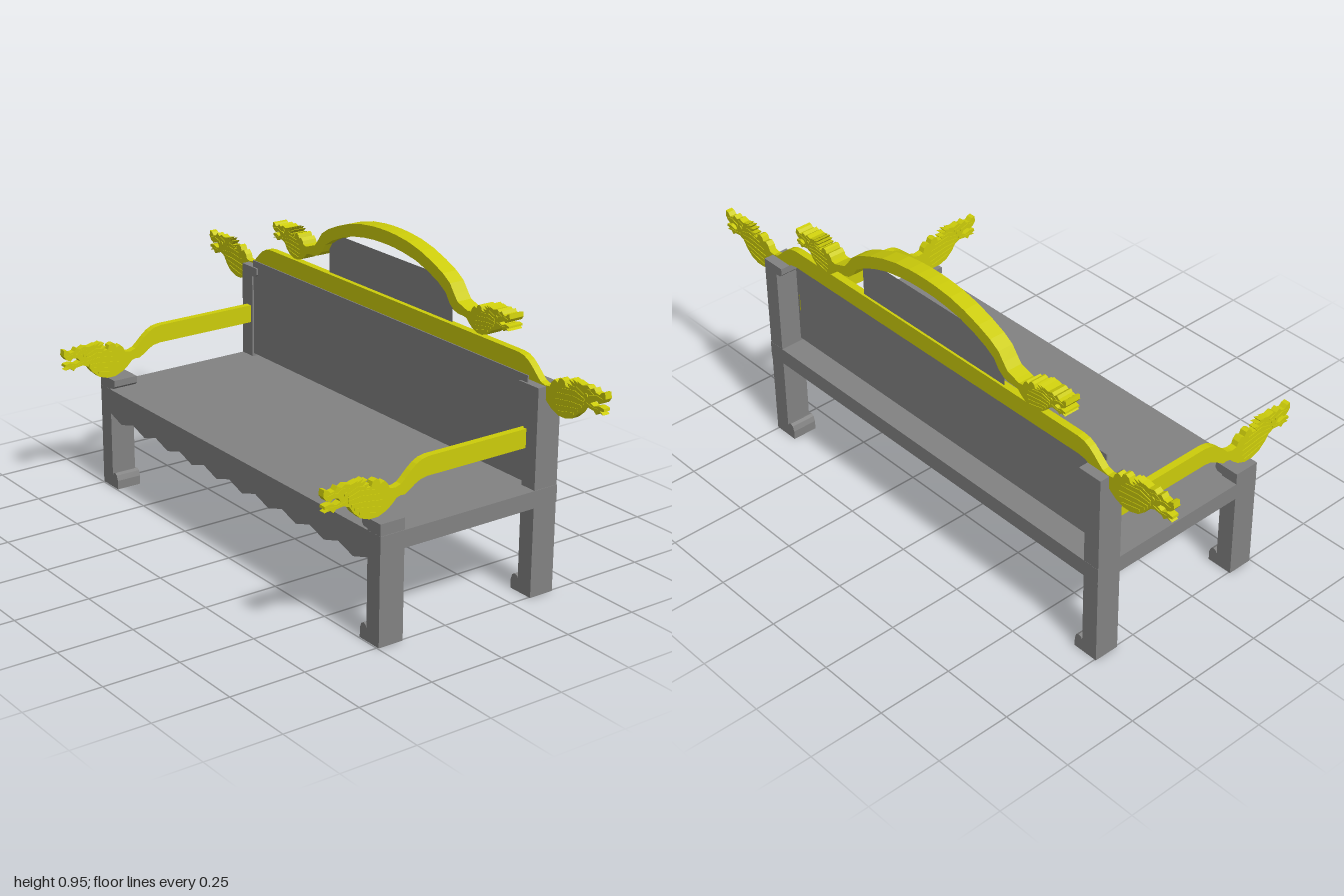
import * as THREE from 'three';

const grey = new THREE.MeshStandardMaterial({ color: 0x828282, flatShading: true, side: THREE.DoubleSide });
const gold = new THREE.MeshStandardMaterial({ color: 0xcccc0a, flatShading: true });

// Carved head silhouette, from neck top round the snout to neck bottom; u runs
// outward from the end of the straight rail, v is measured from the rail's top
const HEAD = [
  [0.1, -0.062], [0.12, -0.068], [0.14, -0.065], [0.146, -0.05], [0.158, -0.038], [0.172, -0.044],
  [0.178, -0.03], [0.188, -0.026], [0.2, -0.031], [0.205, -0.045], [0.222, -0.046], [0.212, -0.033],
  [0.234, -0.036], [0.218, -0.02], [0.242, -0.026], [0.232, -0.014], [0.256, -0.022], [0.25, -0.016],
  [0.275, -0.022], [0.295, -0.016], [0.308, -0.024], [0.322, -0.016], [0.33, -0.027], [0.345, -0.03],
  [0.355, -0.02], [0.367, -0.017], [0.37, -0.036], [0.36, -0.05], [0.345, -0.057], [0.335, -0.049],
  [0.318, -0.052], [0.31, -0.064], [0.325, -0.07], [0.345, -0.063], [0.365, -0.066], [0.366, -0.074],
  [0.35, -0.077], [0.365, -0.085], [0.345, -0.082], [0.335, -0.092], [0.325, -0.083], [0.3, -0.08],
  [0.28, -0.088], [0.265, -0.11], [0.24, -0.132], [0.21, -0.142], [0.18, -0.142], [0.15, -0.13],
  [0.13, -0.115], [0.115, -0.1], [0.1, -0.096],
];
// S-curved neck joining a head to a straight rail 0.06 deep
const NECK_TOP = [[0, 0], [0.025, -0.004], [0.045, -0.014], [0.065, -0.03], [0.085, -0.049]];
const NECK_BOTTOM = [[0.085, -0.097], [0.07, -0.088], [0.05, -0.074], [0.03, -0.064], [0.005, -0.06]];

const place = (pts, x, y, s = 1) => pts.map(([u, v]) => [x + u * s, y + v * s]);
const flipped = (pts) => pts.map(([x, y]) => [-x, y]).reverse();

// Raised carving on the head: [root, bend, tip, width] of each tapered lock
const LOCKS = [
  [[0.285, -0.05], [0.25, -0.036], [0.215, -0.04], 0.007],
  [[0.285, -0.062], [0.245, -0.05], [0.19, -0.055], 0.008],
  [[0.285, -0.073], [0.24, -0.068], [0.172, -0.073], 0.008],
  [[0.275, -0.086], [0.235, -0.087], [0.165, -0.093], 0.008],
  [[0.262, -0.1], [0.225, -0.106], [0.168, -0.112], 0.008],
  [[0.245, -0.116], [0.215, -0.123], [0.175, -0.128], 0.007],
  [[0.278, -0.036], [0.302, -0.028], [0.325, -0.037], 0.006],
  [[0.305, -0.045], [0.335, -0.036], [0.358, -0.038], 0.006],
  [[0.295, -0.07], [0.32, -0.077], [0.345, -0.073], 0.006],
];
const lockOutline = ([[x, y], [bx, by], [tx, ty], w]) => [
  [x, y - w / 2], [bx, by - w / 2], [tx, ty], [bx, by + w / 2], [x, y + w / 2],
];
const EYE = Array.from({ length: 10 }, (_, i) => {
  const a = (i / 10) * Math.PI * 2;
  return [0.292 + 0.007 * Math.cos(a), -0.047 + 0.007 * Math.sin(a)];
});

// Extrudes an outline evenly about z = 0
function slab(points, depth) {
  const shape = new THREE.Shape(points.map(([x, y]) => new THREE.Vector2(x, y)));
  const geo = new THREE.ExtrudeGeometry(shape, { depth, bevelEnabled: false });
  return geo.translate(0, 0, -depth / 2);
}

// Adds locks and eye, standing proud of both faces of a head
function carveHead(rail, depth, side, x, y, s = 1) {
  const raise = (name, outline, extra) => {
    const pts = place(outline, x, y, s);
    const mesh = new THREE.Mesh(slab(side > 0 ? pts : flipped(pts), depth + extra), gold);
    mesh.name = name;
    rail.add(mesh);
  };
  LOCKS.forEach((lock, i) => raise('lock', lockOutline(lock), 0.003 + 0.001 * (i % 2)));
  raise('eye', EYE, 0.006);
}

export function createModel() {
  const group = new THREE.Group();
  const add = (name, geo, material, x = 0, y = 0, z = 0) => {
    const mesh = new THREE.Mesh(geo, material);
    mesh.name = name;
    mesh.position.set(x, y, z);
    group.add(mesh);
    return mesh;
  };

  // Seat and panels
  add('seat', new THREE.BoxGeometry(1.512, 0.055, 0.653), grey, 0.001, 0.3175, -0.08);
  add('backPanel', new THREE.BoxGeometry(1.4, 0.33, 0.004), grey, 0, 0.52, -0.328);
  add('crestPanel', new THREE.PlaneGeometry(0.628, 0.147), grey, -0.006, 0.7935, -0.365);

  // Scalloped apron flush with the front of the seat
  const apron = [[0.7, 0.3], [-0.7, 0.3]];
  const waves = 10;
  for (let i = 0; i <= waves * 4; i++) {
    const t = i / (waves * 4);
    apron.push([-0.7 + 1.4 * t, 0.251 + 0.011 * Math.cos(t * waves * Math.PI * 2)]);
  }
  add('apron', slab(apron, 0.026), grey, 0, 0, 0.233);

  // Legs with inward hoof feet and a bracket at the top
  const legOutline = (side, top) => {
    const pts = [
      [0.755, 0], [0.755, top], [0.67, top], [0.67, top - 0.022], [0.678, top - 0.03], [0.697, top - 0.032],
      [0.697, 0.04], [0.692, 0.05], [0.682, 0.053], [0.672, 0.047], [0.666, 0.03], [0.666, 0],
    ];
    return side > 0 ? pts : flipped(pts);
  };
  // Top rail and arched crest rail, each outlined as a half and mirrored
  const railHalf = place([...NECK_TOP, ...HEAD, ...NECK_BOTTOM], 0.63, 0.733);
  const archHalf = [
    [0.02, 0.954], [0.06, 0.952], [0.12, 0.945], [0.18, 0.931], [0.24, 0.91], [0.29, 0.888], [0.325, 0.865],
    [0.345, 0.838], [0.362, 0.817],
    ...place(HEAD, 0.319, 0.853, 0.76),
    [0.365, 0.781], [0.345, 0.787], [0.325, 0.803], [0.305, 0.832], [0.27, 0.854],
    [0.22, 0.876], [0.16, 0.895], [0.1, 0.905], [0.05, 0.91], [0.02, 0.911],
  ];
  const topRail = add('topRail', slab([...railHalf, ...flipped(railHalf)], 0.024), gold, 0, 0, -0.361);
  const crestRail = add('crestRail', slab([...archHalf, ...flipped(archHalf)], 0.053), gold, 0, 0, -0.364);

  for (const side of [1, -1]) {
    const label = side > 0 ? 'Left' : 'Right';
    add('frontLeg' + label, slab(legOutline(side, 0.382), 0.086), grey, 0, 0, 0.203);
    add('backLeg' + label, slab(legOutline(side, 0.663), 0.086), grey, 0, 0, -0.363);

    // Arm with a carved head at the front
    const arm = [[-0.33, 0.525], ...place([...NECK_TOP, ...HEAD, ...NECK_BOTTOM], 0.04, 0.525), [-0.33, 0.465]];
    const armMesh = add('arm' + label, slab(arm, 0.023), gold, side > 0 ? 0.698 : -0.718);
    armMesh.rotation.y = -Math.PI / 2;

    carveHead(armMesh, 0.023, 1, 0.04, 0.525);
    carveHead(topRail, 0.024, side, 0.63, 0.733);
    carveHead(crestRail, 0.053, side, 0.319, 0.853, 0.76);
  }
  return group;
}
